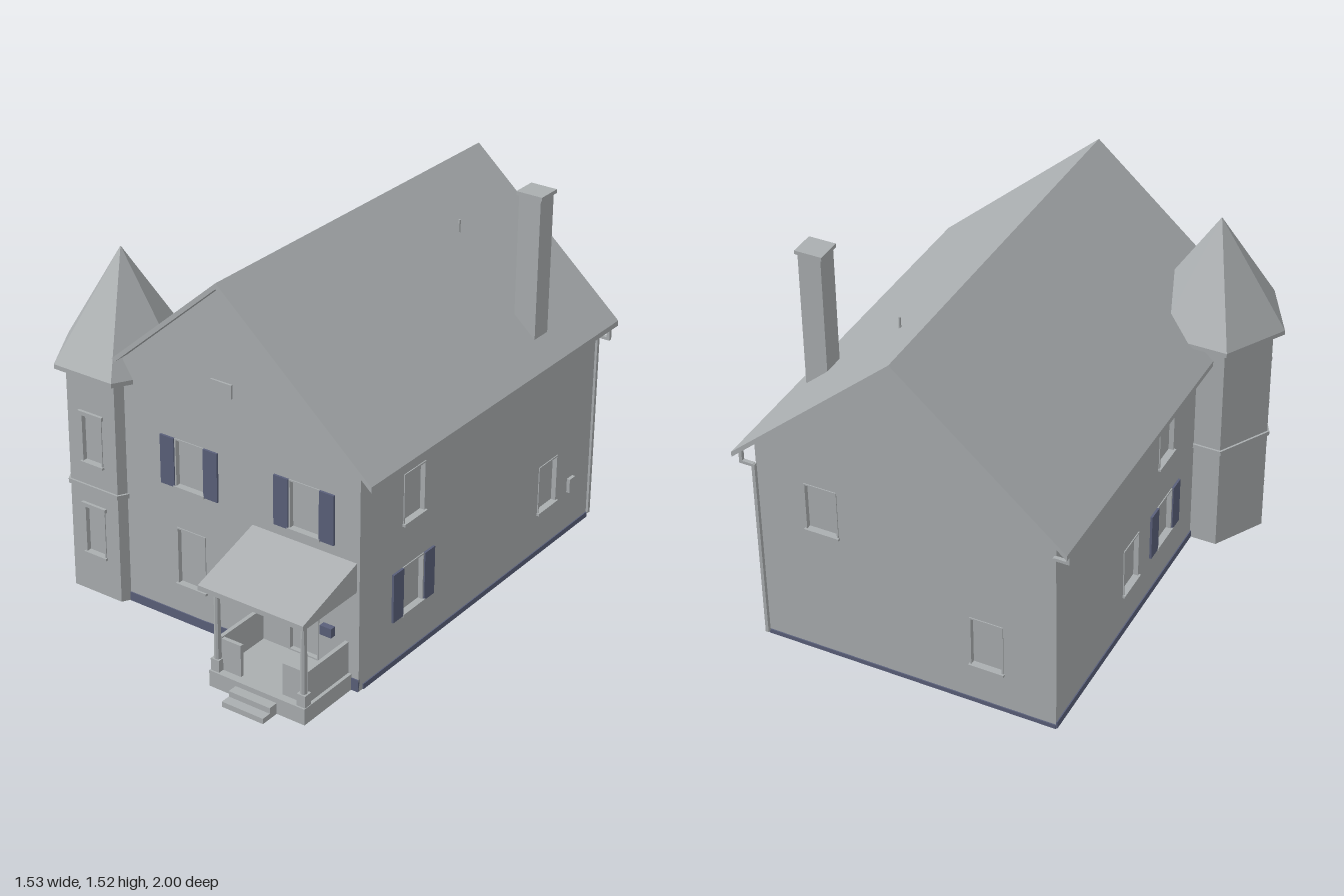
import * as THREE from 'three';

const grey = new THREE.MeshStandardMaterial({ color: 0xaaaeb0, flatShading: true, side: THREE.DoubleSide });
grey.name = 'house grey';
const blue = new THREE.MeshStandardMaterial({ color: 0x5a607a, flatShading: true, side: THREE.DoubleSide });
blue.name = 'slate blue';

function add(parent, name, geometry, material = grey) {
  const mesh = new THREE.Mesh(geometry, material);
  mesh.name = name;
  parent.add(mesh);
  return mesh;
}

// Box given by its minimum and maximum corners
function block(parent, name, x0, x1, y0, y1, z0, z1, material = grey) {
  const mesh = add(parent, name, new THREE.BoxGeometry(x1 - x0, y1 - y0, z1 - z0), material);
  mesh.position.set((x0 + x1) / 2, (y0 + y1) / 2, (z0 + z1) / 2);
  return mesh;
}

const polygon = (points) => new THREE.Shape(points.map(([x, y]) => new THREE.Vector2(x, y)));
const rectangle = (x0, x1, y0, y1) => polygon([[x0, y0], [x1, y0], [x1, y1], [x0, y1]]);
const extrude = (shape, depth) => new THREE.ExtrudeGeometry(shape, { depth, bevelEnabled: false });

// Recessed opening with frame, pane and optional sill, head and shutters
function opening(wall, o) {
  const { x0, x1, y0, y1 } = o;
  const name = o.name || 'window';
  const frame = rectangle(x0, x1, y0, y1);
  frame.holes.push(rectangle(x0 + 0.006, x1 - 0.006, y0 + 0.006, y1 - 0.006));
  add(wall, name + 'Frame', extrude(frame, 0.024)).position.z = -0.02;
  block(wall, name + 'Pane', x0, x1, y0, y1, -0.022, -0.016);
  if (!o.plain) block(wall, name + 'Sill', x0 - 0.004, x1 + 0.004, y0 - 0.004, y0 + 0.006, -0.002, 0.012);
  if (o.head) block(wall, name + 'Head', x0 - 0.008, x1 + 0.008, y1 - 0.012, y1 + 0.004, -0.002, 0.012);
  if (o.shutters) {
    block(wall, 'shutter', x0 - 0.064, x0, y0, y1, 0, 0.009, blue);
    block(wall, 'shutter', x1, x1 + 0.064, y0, y1, 0, 0.009, blue);
  }
}

// Upright wall from plan point p to q (left to right seen from outside)
function makeWall(parent, name, p, q, outline, openings = []) {
  const wall = new THREE.Group();
  wall.name = name;
  wall.position.set(p[0], 0, p[1]);
  wall.rotation.y = Math.atan2(p[1] - q[1], q[0] - p[0]);
  const shape = polygon(outline);
  for (const o of openings) {
    shape.holes.push(rectangle(o.x0, o.x1, o.y0, o.y1));
    opening(wall, o);
  }
  add(wall, name + 'Surface', new THREE.ShapeGeometry(shape));
  parent.add(wall);
  return wall;
}

const win = (x0, x1, y0, y1, extra = {}) => ({ x0, x1, y0, y1, ...extra });
const flat = (w, h) => [[0, 0], [w, 0], [w, h], [0, h]];

function addHouse(g) {
  const L = -0.5, R = 0.7, F = 0.635, B = -0.945, T = -0.36;
  const eave = 0.9, peak = 1.43;

  // Front gable, whose left edge meets the tower
  const front = makeWall(g, 'frontWall', [T, F], [R, F],
    [[0, 0], [R - T, 0], [R - T, eave], [0.1 - T, peak], [0, 1.025]], [
      win(0.235, 0.37, 0.57, 0.77, { shutters: true }),
      win(0.752, 0.888, 0.57, 0.77, { shutters: true }),
      win(0.235, 0.37, 0.158, 0.4),
      win(0.75, 0.885, 0.066, 0.35, { name: 'door', plain: true }),
    ]);
  block(front, 'gableVent', 0.41, 0.505, 1.01, 1.065, 0, 0.008);
  block(front, 'porchLamp', 0.69, 0.72, 0.275, 0.325, 0, 0.02);
  block(front, 'mailbox', 0.905, 0.955, 0.198, 0.236, 0, 0.025, blue);
  add(front, 'frontFoundation', extrude(polygon(
    [[0, 0], [R - T, 0], [R - T, 0.05], [0.6, 0.05], [0.36, 0.038], [0, 0.037]]), 0.009), blue).position.z = -0.0045;

  // Right wall
  const right = makeWall(g, 'rightWall', [R, F], [R, B], flat(F - B, eave), [
    win(0.265, 0.4, 0.565, 0.77),
    win(0.265, 0.4, 0.19, 0.39, { shutters: true }),
    win(1.195, 1.33, 0.185, 0.39),
  ]);
  block(right, 'meterBox', 1.415, 1.455, 0.185, 0.245, 0, 0.014);
  block(right, 'rightFoundation', 0.025, F - B, 0, 0.022, -0.0045, 0.0045, blue);

  // Back gable
  const back = makeWall(g, 'backWall', [R, B], [L, B],
    [[0, 0], [R - L, 0], [R - L, eave], [(R - L) / 2, peak], [0, eave]], [
      win(0.195, 0.33, 0.57, 0.78),
      win(0.855, 0.99, 0.175, 0.4),
    ]);
  block(back, 'backFoundation', 0, R - L, 0, 0.018, -0.0045, 0.0045, blue);

  // Left wall, ending at the tower
  const left = makeWall(g, 'leftWall', [L, B], [L, 0.271], flat(0.271 - B, eave), [
    win(0.875, 1.01, 0.57, 0.78),
    win(0.875, 1.01, 0.19, 0.39, { shutters: true }),
    win(0.57, 0.705, 0.185, 0.4),
  ]);
  block(left, 'leftFoundation', 0, 0.271 - B, 0, 0.03, -0.0045, 0.0045, blue);

  // Gable roof as a folded slab
  add(g, 'mainRoof', extrude(polygon([[0.1, 1.455], [0.765, 0.87], [0.765, 0.848],
    [0.1, 1.432], [-0.565, 0.848], [-0.565, 0.87]]), 1.665)).position.z = -1;

  // Corner downspouts at the back
  for (const s of [-1, 1]) {
    const spout = new THREE.Group();
    spout.name = 'downspout';
    spout.position.x = 0.1;
    spout.scale.x = s;
    block(spout, 'spoutOutlet', 0.645, 0.658, 0.805, 0.855, -0.965, -0.95);
    block(spout, 'spoutElbow', 0.6, 0.658, 0.8, 0.812, -0.965, -0.95);
    block(spout, 'spoutPipe', 0.594, 0.607, s > 0 ? 0.015 : 0.7, 0.81, -0.965, -0.95);
    g.add(spout);
  }

  // Chimney and vent pipe
  block(g, 'chimney', 0.585, 0.678, 0.92, 1.51, -0.61, -0.52);
  block(g, 'chimneyCap', 0.576, 0.686, 1.51, 1.525, -0.618, -0.514);
  add(g, 'ventPipe', new THREE.CylinderGeometry(0.005, 0.005, 0.07, 8)).position.set(0.3, 1.29, -0.565);
}

function addTower(g) {
  // Outer sides of the six-sided tower, open towards the house
  const plan = [[-0.5, 0.271], [-0.61, 0.271], [-0.725, 0.47], [-0.61, 0.669], [-0.38, 0.669], [-0.36, 0.635]];
  for (let i = 0; i < plan.length - 1; i++) {
    const p = plan[i], q = plan[i + 1];
    const w = Math.hypot(q[0] - p[0], q[1] - p[1]);
    const windows = i === 2 || i === 3 ? [[0.165, 0.38], [0.555, 0.768]].map(
      ([a, b]) => win(w / 2 - 0.05, w / 2 + 0.05, a, b, { head: true })) : [];
    const side = makeWall(g, 'towerWall', p, q, flat(w, 0.935), windows);
    block(side, 'towerBelt', -0.004, w + 0.004, 0.445, 0.463, -0.002, 0.008);
  }
  // Pointed roof, fascia and soffit
  const roof = new THREE.Group();
  roof.name = 'towerRoof';
  roof.position.set(-0.495, 0, 0.47);
  const cone = add(roof, 'towerSpire', new THREE.ConeGeometry(0.275, 0.427, 6, 1, true));
  cone.position.y = 0.948 + 0.427 / 2;
  const fascia = add(roof, 'towerFascia', new THREE.CylinderGeometry(0.275, 0.275, 0.018, 6, 1, true));
  fascia.position.y = 0.939;
  cone.rotation.y = fascia.rotation.y = Math.PI / 6;
  const soffit = add(roof, 'towerSoffit', new THREE.RingGeometry(0.23, 0.275, 6));
  soffit.rotation.x = Math.PI / 2;
  soffit.position.y = 0.931;
  g.add(roof);
}

function addPorch(g) {
  const porch = new THREE.Group();
  porch.name = 'porch';
  block(porch, 'porchFloor', 0.245, 0.67, 0, 0.066, 0.637, 0.92);
  block(porch, 'upperStep', 0.365, 0.548, 0, 0.045, 0.92, 0.96);
  block(porch, 'lowerStep', 0.365, 0.548, 0, 0.022, 0.96, 1);

  // Columns, side panels and front panels
  for (const s of [-1, 1]) {
    const half = new THREE.Group();
    half.name = 'porchSide';
    half.position.x = 0.4575;
    half.scale.x = s;
    block(half, 'columnBase', 0.173, 0.21, 0.066, 0.115, 0.877, 0.913);
    add(half, 'column', new THREE.CylinderGeometry(0.011, 0.014, 0.28, 8)).position.set(0.191, 0.255, 0.895);
    block(half, 'columnCap', 0.174, 0.208, 0.395, 0.412, 0.878, 0.912);
    block(half, 'sidePanel', 0.183, 0.199, 0.066, 0.196, 0.637, 0.88);
    block(half, 'frontPanel', 0.093, 0.178, 0.066, 0.196, 0.872, 0.888);
    porch.add(half);
  }

  // Sloping roof wedge, drawn in side profile
  const roof = add(porch, 'porchRoof', extrude(polygon(
    [[-0.637, 0.412], [-0.637, 0.53], [-0.955, 0.432], [-0.955, 0.412]]), 0.46));
  roof.rotation.y = Math.PI / 2;
  roof.position.x = 0.229;
  g.add(porch);
}

export function createModel() {
  const g = new THREE.Group();
  g.name = 'house';
  addHouse(g);
  addTower(g);
  addPorch(g);
  return g;
}
